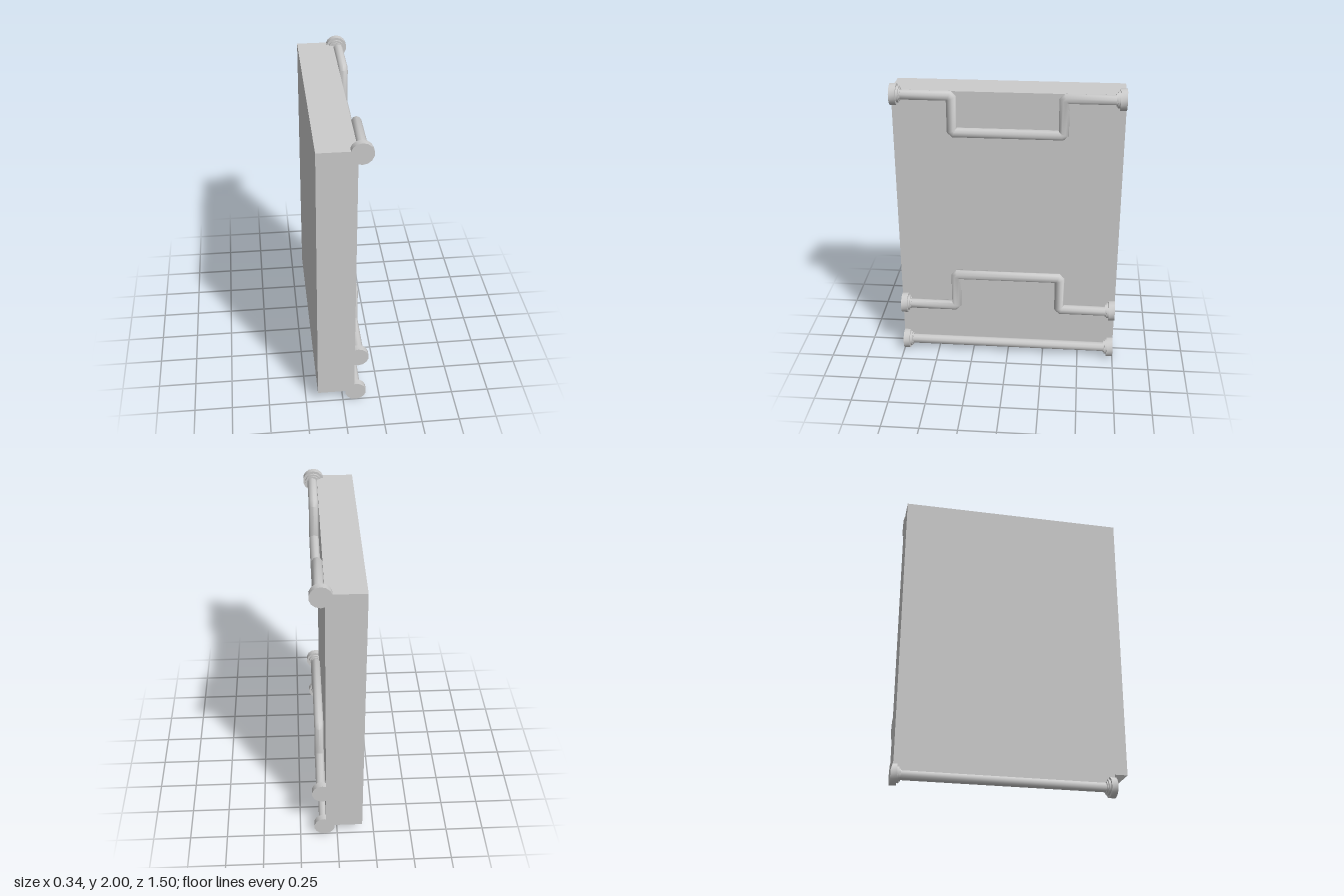
import * as THREE from 'three';
import { toCreasedNormals } from 'three/addons/utils/BufferGeometryUtils.js';

const grey = new THREE.MeshStandardMaterial({ color: 0xcccccc });
const greyOpen = new THREE.MeshStandardMaterial({ color: 0xcccccc, side: THREE.DoubleSide });
const PIPE_SIDES = 10, FLANGE_SIDES = 14;

function add(parent, name, geometry, material = grey) {
  const mesh = new THREE.Mesh(geometry, material);
  mesh.name = name;
  parent.add(mesh);
  return mesh;
}

// Round pipe along [z, y] points, mitred at every bend
function pipeGeometry(points, radius) {
  const pts = points.map(([z, y]) => new THREE.Vector2(z, y));
  const pos = [], index = [];
  pts.forEach((p, i) => {
    const before = i > 0 ? p.clone().sub(pts[i - 1]).normalize() : null;
    const after = i < pts.length - 1 ? pts[i + 1].clone().sub(p).normalize() : null;
    const a = before || after, b = after || before;
    const t = a.clone().add(b).normalize();
    const stretch = radius / t.dot(a);
    for (let k = 0; k < PIPE_SIDES; k++) {
      const ang = (k / PIPE_SIDES) * Math.PI * 2;
      const w = Math.cos(ang) * stretch;
      pos.push(Math.sin(ang) * radius, p.y + t.x * w, p.x - t.y * w);
      if (i) {
        const n = (k + 1) % PIPE_SIDES;
        const r0 = (i - 1) * PIPE_SIDES, r1 = i * PIPE_SIDES;
        index.push(r0 + k, r1 + k, r0 + n, r0 + n, r1 + k, r1 + n);
      }
    }
  });
  const g = new THREE.BufferGeometry();
  g.setAttribute('position', new THREE.Float32BufferAttribute(pos, 3));
  g.setIndex(index);
  return toCreasedNormals(g, 0.9);
}

// Stepped end flange, turned around the pipe axis
function flangeGeometry() {
  const profile = [[0, 0.683], [0.042, 0.683], [0.042, 0.692], [0.054, 0.692],
    [0.054, 0.707], [0.07, 0.707], [0.07, 0.75], [0, 0.75]];
  const g = new THREE.LatheGeometry(profile.map(([r, h]) => new THREE.Vector2(r, h)), FLANGE_SIDES);
  g.rotateX(Math.PI / 2);
  return toCreasedNormals(g, 0.7);
}

// Rail path: a straight run, or one with a stepped middle; corners slightly cut
function railPath(step) {
  if (!step) return [[-0.7, 0], [0.7, 0]];
  const c = 0.014, z = 0.36, s = Math.sign(step);
  const half = [[0.7, 0], [z + c, 0], [z, s * c], [z, step - s * c], [z - c, step]];
  return [...half.map(([a, b]) => [-a, b]), ...half.reverse()];
}

function rail(name, x, y, pipeX, step) {
  const group = new THREE.Group();
  group.name = name;
  group.position.set(x, y, 0);
  add(group, 'pipe', pipeGeometry(railPath(step), 0.033)).position.x = pipeX - x;
  const flange = flangeGeometry();
  add(group, 'frontFlange', flange);
  add(group, 'backFlange', flange).rotation.y = Math.PI;
  return group;
}

// Box without its bottom face
function openBox(w, h, d) {
  const g = new THREE.BoxGeometry(w, h, d);
  const corners = [...g.index.array];
  corners.splice(18, 6);
  g.setIndex(corners);
  g.clearGroups();
  return g;
}

export function createModel() {
  const model = new THREE.Group();
  model.name = 'panelWithRails';

  // Hollow slab, open underneath
  add(model, 'panel', openBox(0.245, 1.87, 1.5), greyOpen).position.set(-0.0475, 1.015, 0);

  // Three rails on the panel's +x face
  model.add(
    rail('upperRail', 0.098, 1.93, 0.107, -0.246),
    rail('middleRail', 0.098, 0.38, 0.107, 0.25),
    rail('lowerRail', 0.086, 0.07, 0.09, 0),
  );
  return model;
}
